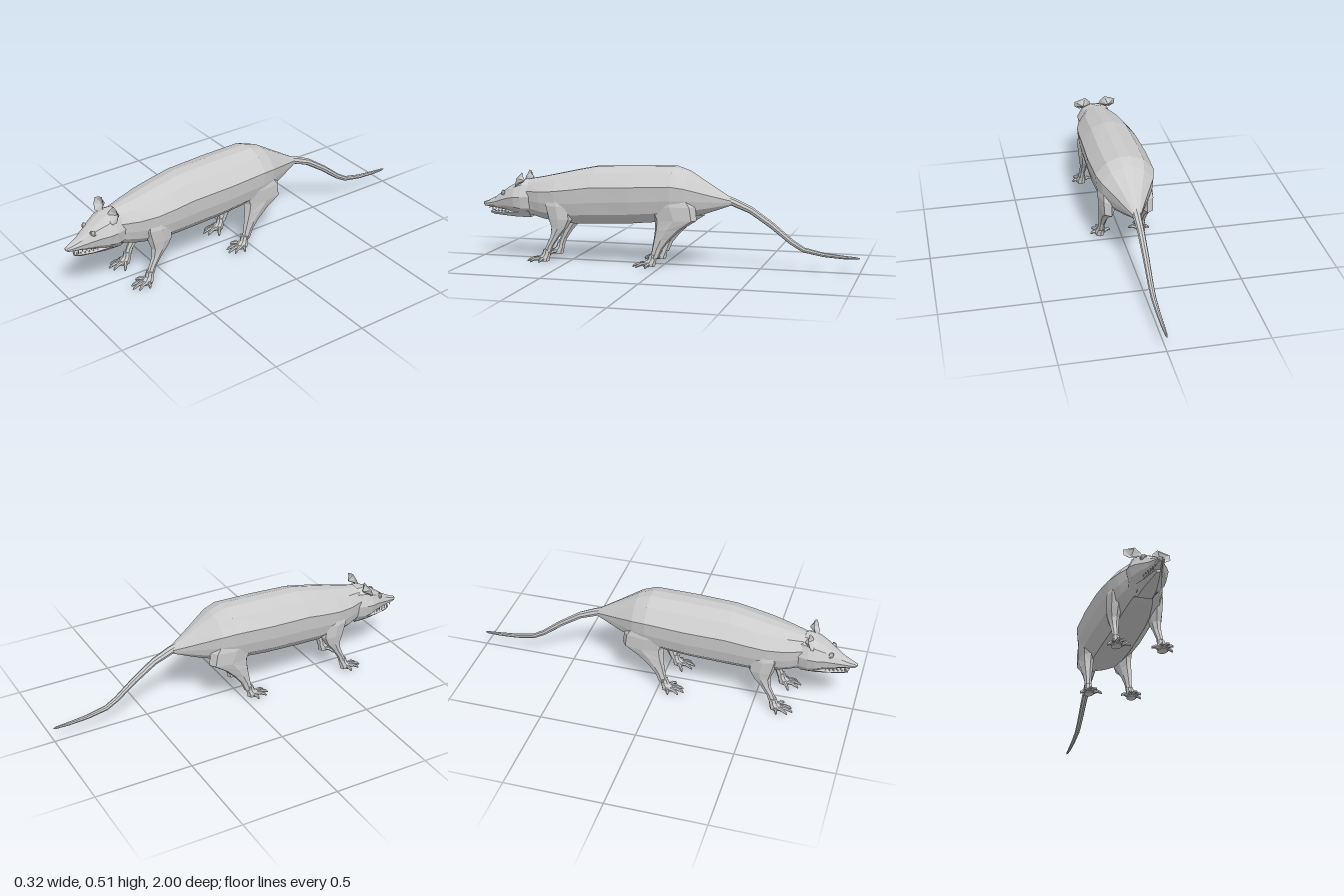
import * as THREE from 'three';

const material = new THREE.MeshStandardMaterial({ color: 0xcccccc, flatShading: true, side: THREE.DoubleSide });
const V = (x, y, z) => new THREE.Vector3(x, y, z);

// Skin over a list of equal-length rings, capped at both ends, wound outward
function loft(rings) {
  const tris = [];
  const n = rings[0].length;
  for (let i = 0; i < rings.length - 1; i++) {
    for (let j = 0; j < n; j++) {
      const k = (j + 1) % n;
      const [a, b, c, d] = [rings[i][j], rings[i][k], rings[i + 1][k], rings[i + 1][j]];
      tris.push([a, b, c], [a, c, d]);
    }
  }
  const last = rings[rings.length - 1];
  for (let j = 1; j < n - 1; j++) {
    tris.push([rings[0][0], rings[0][j + 1], rings[0][j]], [last[0], last[j], last[j + 1]]);
  }
  const volume = tris.reduce((s, [a, b, c]) => s + a.dot(b.clone().cross(c)), 0);
  if (volume < 0) tris.forEach((t) => t.reverse());
  const geometry = new THREE.BufferGeometry().setFromPoints(tris.flat());
  geometry.computeVertexNormals();
  return geometry;
}

// Upright cross-sections [z, top, bottom, halfWidth] using a half outline in unit fractions
function sections(rows, outline) {
  const full = [...outline, ...outline.map(([x, y]) => [-x, y]).reverse()];
  return loft(rows.map(([z, top, bottom, w]) =>
    full.map(([x, y]) => V(x * w, bottom + y * (top - bottom), z))));
}

// Level cross-sections [x, y, z, radiusX, radiusZ] for limbs
function limb(rows, side, sides = 7) {
  return loft(rows.map(([x, y, z, rx, rz]) => Array.from({ length: sides }, (_, i) => {
    const a = (i / sides) * Math.PI * 2;
    return V(side * (x + rx * Math.cos(a)), y, z + rz * Math.sin(a));
  })));
}

// Tapered tube through [x, y, z, radius]
function taper(path, sides) {
  const pts = path.map(([x, y, z]) => V(x, y, z));
  return loft(pts.map((p, i) => {
    const t = pts[Math.min(i + 1, pts.length - 1)].clone().sub(pts[Math.max(i - 1, 0)]).normalize();
    const u = V(0, 1, 0).cross(t).normalize();
    const v = t.clone().cross(u);
    return Array.from({ length: sides }, (_, j) => {
      const a = (j / sides) * Math.PI * 2;
      return p.clone().addScaledVector(u, path[i][3] * Math.cos(a)).addScaledVector(v, path[i][3] * Math.sin(a));
    });
  }));
}

function add(parent, name, geometry) {
  const mesh = new THREE.Mesh(geometry, material);
  mesh.name = name;
  parent.add(mesh);
  return mesh;
}

// Paw with five splayed toes; z is the ankle position
function paw(side, z, name) {
  const foot = new THREE.Group();
  foot.name = name;
  add(foot, 'palm', limb([
    [0.108, 0.07, z, 0.017, 0.02], [0.108, 0.045, z + 0.004, 0.02, 0.023],
    [0.11, 0.022, z + 0.02, 0.027, 0.034], [0.11, 0.008, z + 0.02, 0.025, 0.032],
  ], side, 8));
  const tips = [[0.155, 0.03], [0.142, 0.082], [0.116, 0.105], [0.086, 0.095], [0.05, 0.05]];
  for (const [x, dz] of tips) {
    const x0 = 0.11 + (x - 0.11) * 0.35;
    const z0 = z + 0.01 + dz * 0.25;
    add(foot, 'toe', taper([
      [side * x0, 0.02, z0, 0.011],
      [side * (x0 + (x - x0) * 0.5), 0.021, z0 + (z + dz - z0) * 0.5, 0.009],
      [side * (x0 + (x - x0) * 0.85), 0.012, z0 + (z + dz - z0) * 0.85, 0.007],
      [side * x, 0.004, z + dz, 0.003],
    ], 6));
  }
  return foot;
}

export function createModel() {
  const model = new THREE.Group();
  model.name = 'opossum';

  // Trunk from neck to tail root
  add(model, 'body', sections([
    [0.73, 0.423, 0.24, 0.078], [0.65, 0.438, 0.22, 0.112], [0.56, 0.458, 0.205, 0.136],
    [0.46, 0.48, 0.2, 0.144], [0.36, 0.5, 0.203, 0.148], [0.15, 0.508, 0.215, 0.155],
    [-0.06, 0.513, 0.235, 0.15], [-0.13, 0.49, 0.25, 0.132], [-0.24, 0.424, 0.282, 0.075],
    [-0.35, 0.358, 0.322, 0.022],
  ], [[0.18, 1], [0.64, 0.91], [1, 0.68], [0.96, 0.42], [0.85, 0.2], [0.5, 0.02]]));

  // Tail
  add(model, 'tail', taper([
    [0, 0.355, -0.3, 0.024], [0, 0.338, -0.36, 0.021], [0, 0.3, -0.45, 0.018], [0, 0.225, -0.56, 0.016],
    [0, 0.145, -0.66, 0.014], [0, 0.11, -0.72, 0.013], [0, 0.09, -0.82, 0.011],
    [0, 0.082, -0.92, 0.009], [0, 0.08, -0.985, 0.006], [0, 0.08, -1, 0.002],
  ], 8));

  // Head
  const head = new THREE.Group();
  head.name = 'head';
  model.add(head);
  add(head, 'skull', sections([
    [0.68, 0.42, 0.235, 0.075], [0.76, 0.418, 0.232, 0.096], [0.8, 0.402, 0.245, 0.094],
    [0.84, 0.38, 0.255, 0.076], [0.88, 0.354, 0.258, 0.057], [0.92, 0.325, 0.263, 0.037],
    [0.965, 0.302, 0.267, 0.022], [0.99, 0.293, 0.27, 0.014],
  ], [[0.3, 1], [0.72, 0.88], [1, 0.55], [0.88, 0.22], [0.5, 0]]));
  add(head, 'lowerJaw', sections([
    [0.72, 0.27, 0.222, 0.065], [0.8, 0.258, 0.222, 0.06], [0.87, 0.245, 0.225, 0.042],
    [0.93, 0.245, 0.228, 0.024], [0.955, 0.246, 0.234, 0.012],
  ], [[0.6, 1], [1, 0.75], [0.55, 0]]));
  const nose = add(head, 'nose', new THREE.IcosahedronGeometry(1, 1));
  nose.scale.set(0.013, 0.011, 0.012);
  nose.position.set(0, 0.283, 0.988);

  for (const side of [1, -1]) {
    // Eyes with raised lids
    const eye = add(head, 'eye', new THREE.SphereGeometry(0.013, 10, 7));
    eye.position.set(side * 0.045, 0.348, 0.868);
    const lid = add(head, 'eyelid', new THREE.TorusGeometry(0.013, 0.004, 5, 10));
    lid.position.set(side * 0.045, 0.348, 0.87);
    lid.rotation.y = side * 0.65;

    // Cupped ears: rim fanned to a hollow behind it
    const rim = [
      [0.022, 0.41, 0.775], [0.03, 0.435, 0.765], [0.055, 0.462, 0.757], [0.085, 0.452, 0.757],
      [0.113, 0.438, 0.765], [0.112, 0.405, 0.775], [0.085, 0.386, 0.785], [0.05, 0.392, 0.785],
    ].map(([x, y, z]) => V(side * x, y, z));
    const inset = (f, z) => rim.map((p) => V(side * 0.07, 0.418, z).lerp(p, f));
    add(head, 'ear', loft([inset(0.15, 0.748), inset(0.85, 0.766), rim, inset(0.7, 0.752), inset(0.15, 0.736)]));

    // Teeth along both jaws, with a longer upper fang
    for (let i = 0; i < 6; i++) {
      const z = 0.86 + i * 0.02;
      const x = side * (0.042 - i * 0.0055);
      const length = i === 4 ? 0.022 : 0.011;
      const upper = add(head, 'upperTooth', new THREE.ConeGeometry(0.004, length, 4));
      upper.rotation.x = Math.PI;
      upper.position.set(x, 0.266 - length / 2, z);
      const lower = add(head, 'lowerTooth', new THREE.ConeGeometry(0.0035, 0.01, 4));
      lower.position.set(x * 0.85, 0.249, z - 0.014);
    }

    // Front leg
    add(model, 'frontLeg', limb([
      [0.09, 0.38, 0.55, 0.03, 0.05], [0.1, 0.3, 0.545, 0.039, 0.075], [0.102, 0.23, 0.535, 0.034, 0.066],
      [0.103, 0.185, 0.54, 0.026, 0.045], [0.104, 0.14, 0.562, 0.02, 0.026],
      [0.107, 0.09, 0.59, 0.016, 0.02], [0.108, 0.05, 0.605, 0.017, 0.02],
    ], side));
    model.add(paw(side, 0.605, 'frontPaw'));

    // Hind leg with broad thigh
    add(model, 'hindLeg', limb([
      [0.095, 0.41, -0.04, 0.035, 0.07], [0.1, 0.32, -0.06, 0.042, 0.125], [0.1, 0.25, -0.08, 0.038, 0.112],
      [0.102, 0.2, -0.042, 0.032, 0.07], [0.104, 0.15, -0.012, 0.024, 0.045],
      [0.106, 0.1, 0.012, 0.018, 0.028], [0.108, 0.05, 0.028, 0.017, 0.022],
    ], side));
    model.add(paw(side, 0.035, 'hindPaw'));
  }
  return model;
}
